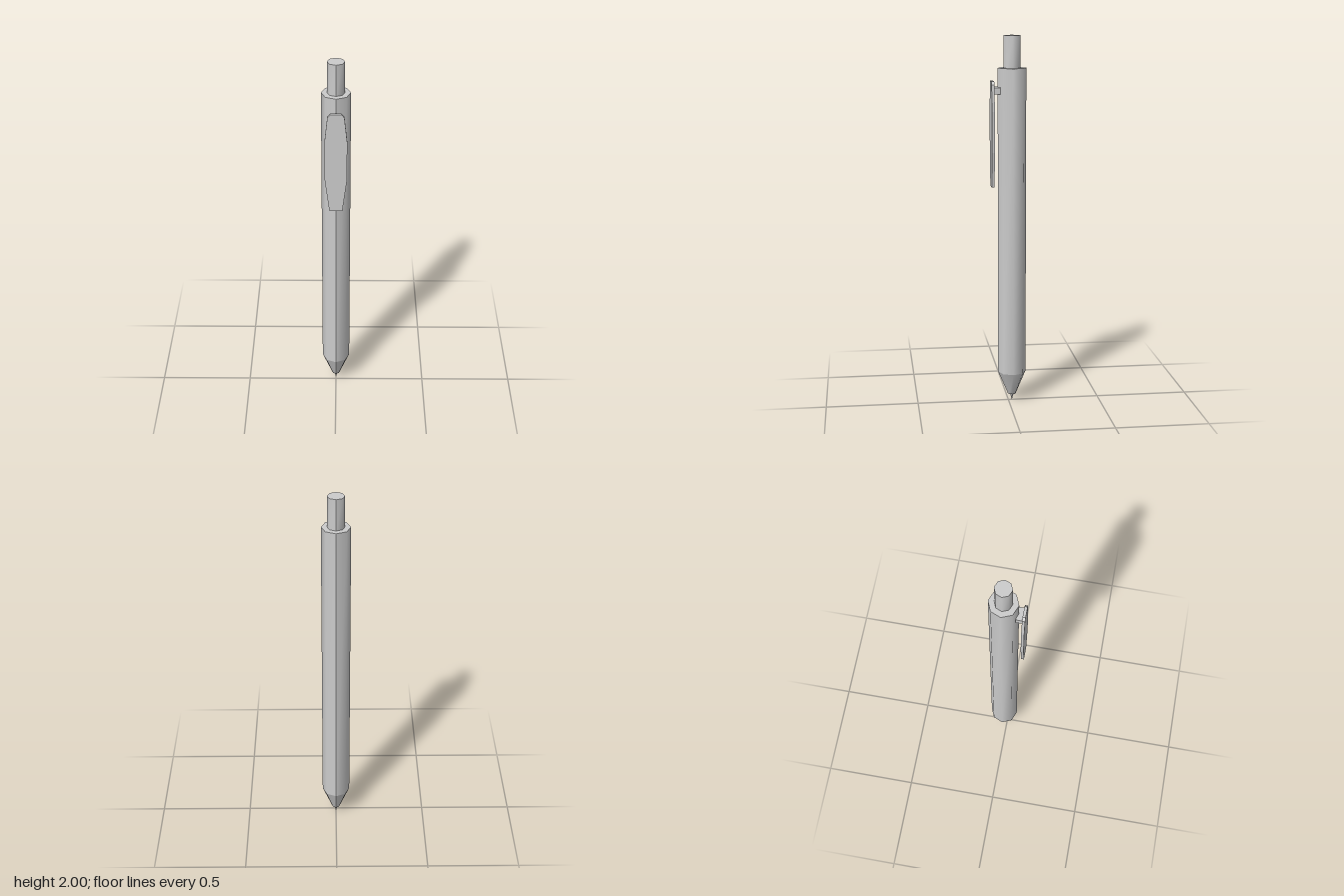
import * as THREE from 'three';

const AXIS_Z = -0.0195; // pen axis, offset back so the clip balances the depth

export function createModel() {
  const pen = new THREE.Group();
  pen.name = 'pen';
  const material = new THREE.MeshStandardMaterial({ color: 0xcccccc });

  const add = (name, geometry, parent = pen) => {
    const mesh = new THREE.Mesh(geometry, material);
    mesh.name = name;
    parent.add(mesh);
    return mesh;
  };

  // Eight-sided section: two smooth halves that meet in a crease at front and back
  const section = (name, rTop, rBottom, y0, y1, caps = []) => {
    const part = new THREE.Group();
    part.name = name;
    part.position.z = AXIS_Z;
    pen.add(part);
    for (const start of [0, Math.PI]) {
      const half = new THREE.CylinderGeometry(rTop, rBottom, y1 - y0, 4, 1, true, start, Math.PI);
      half.computeVertexNormals();
      add(name + 'Half', half, part).position.y = (y0 + y1) / 2;
    }
    for (const [y, r, up] of caps) {
      const cap = new THREE.CircleGeometry(r, 8, Math.PI / 2);
      cap.rotateX(up ? -Math.PI / 2 : Math.PI / 2);
      add(name + 'Cap', cap, part).position.y = y;
    }
  };

  section('barrel', 0.076, 0.076, 0.165, 1.83, [[1.83, 0.076, true]]);
  section('noseCone', 0.076, 0.022, 0.037, 0.165, [[0.037, 0.022, false]]);
  section('button', 0.045, 0.045, 1.82, 2, [[2, 0.045, true]]);

  // Writing point
  const point = new THREE.ConeGeometry(0.011, 0.04, 8, 1, true).rotateX(Math.PI);
  add('writingPoint', point).position.set(0, 0.02, AXIS_Z);

  // Clip plate, mirrored outline
  const side = [[0.034, 1.2], [0.058, 1.39], [0.058, 1.605], [0.043, 1.745], [0.028, 1.762]];
  const outline = [...side, ...side.map(([x, y]) => [-x, y]).reverse()];
  const shape = new THREE.Shape(outline.map(([x, y]) => new THREE.Vector2(x, y)));
  const plate = new THREE.ExtrudeGeometry(shape, { depth: 0.015, bevelEnabled: false });
  add('clipPlate', plate).position.z = 0.078;

  // Bracket joining the clip to the barrel
  add('clipBracket', new THREE.BoxGeometry(0.07, 0.035, 0.033)).position.set(0, 1.712, 0.0625);

  return pen;
}
